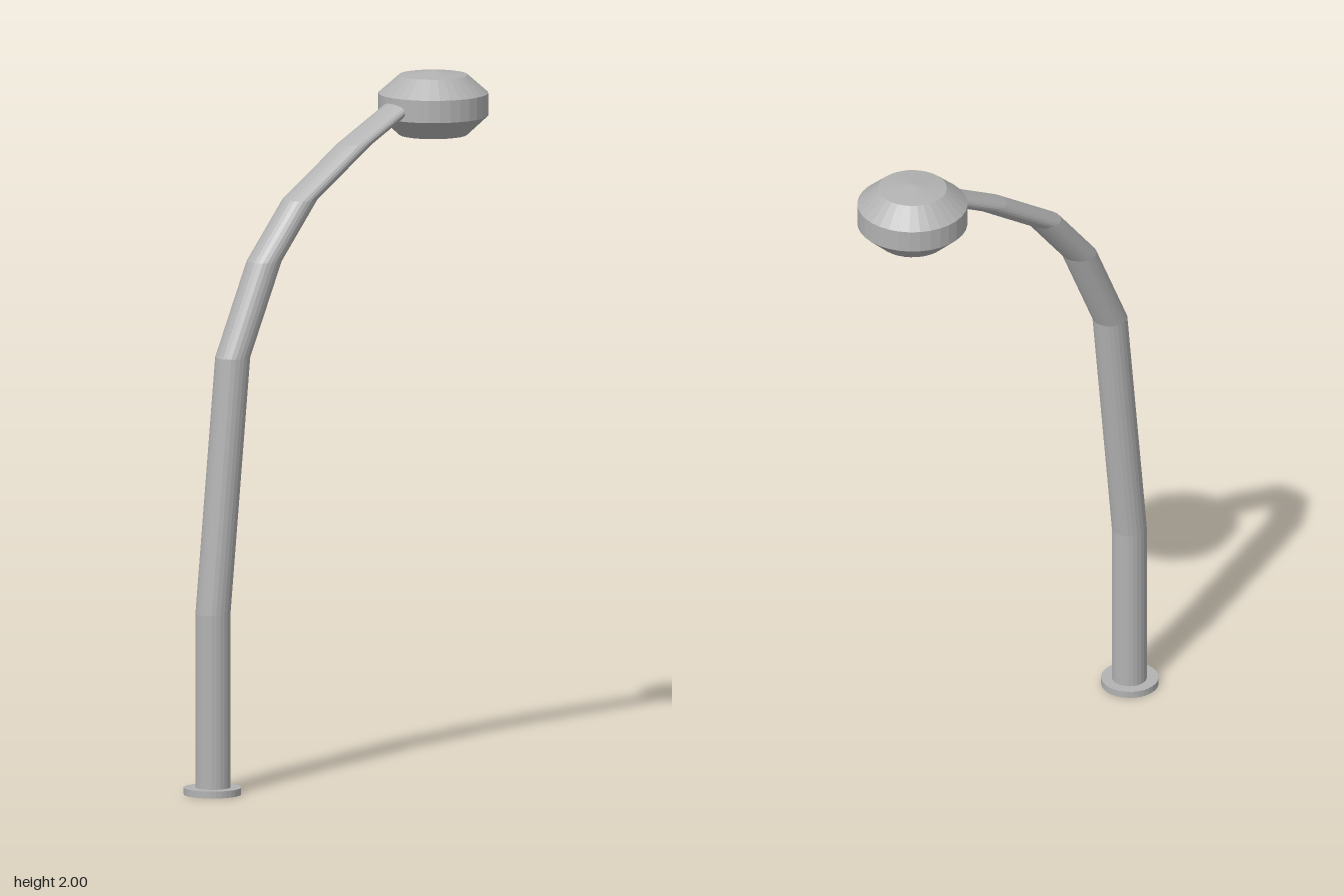
import * as THREE from 'three';

const metal = new THREE.MeshStandardMaterial({ color: 0xb2b2b2, flatShading: true });
metal.name = 'grey metal';

// Lofts a horizontal circle of fixed radius through [y, z] centres, with capped ends.
function sweptPole(centres, radius, sides) {
  const pos = [], idx = [];
  for (const [y, z] of centres) {
    for (let i = 0; i < sides; i++) {
      const a = (i / sides) * Math.PI * 2;
      pos.push(Math.sin(a) * radius, y, z + Math.cos(a) * radius);
    }
  }
  const last = (centres.length - 1) * sides;
  for (let r = 0; r < last; r += sides) {
    for (let i = 0; i < sides; i++) {
      const j = (i + 1) % sides;
      idx.push(r + i, r + j, r + sides + j, r + i, r + sides + j, r + sides + i);
    }
  }
  for (let i = 1; i < sides - 1; i++) {
    idx.push(0, i + 1, i, last, last + i, last + i + 1);
  }
  const g = new THREE.BufferGeometry();
  g.setAttribute('position', new THREE.Float32BufferAttribute(pos, 3));
  g.setIndex(idx);
  g.computeVertexNormals();
  return g;
}

export function createModel() {
  const group = new THREE.Group();
  group.name = 'streetLamp';
  const add = (name, geometry, y, z) => {
    const mesh = new THREE.Mesh(geometry, metal);
    mesh.name = name;
    mesh.position.set(0, y, z);
    group.add(mesh);
  };

  // Ground plate
  add('basePlate', new THREE.CylinderGeometry(0.082, 0.082, 0.02, 32), 0.01, 0.452);

  // Pole: upright, then curving back to the lamp; thins as it leans over
  const centres = [
    [0.01, 0.45], [0.52, 0.45], [1.25, 0.376], [1.515, 0.258],
    [1.68, 0.123], [1.82, -0.085], [1.935, -0.3],
  ];
  add('pole', sweptPole(centres, 0.05, 24), 0, 0);

  // Lamp head: band between two shallow stepped cones
  const profile = [
    [0, 1.803], [0.098, 1.817], [0.157, 1.872],
    [0.157, 1.936], [0.098, 1.988], [0, 2.0],
  ].map(([r, y]) => new THREE.Vector2(r, y));
  add('lampHead', new THREE.LatheGeometry(profile, 32), 0, -0.377);

  return group;
}
